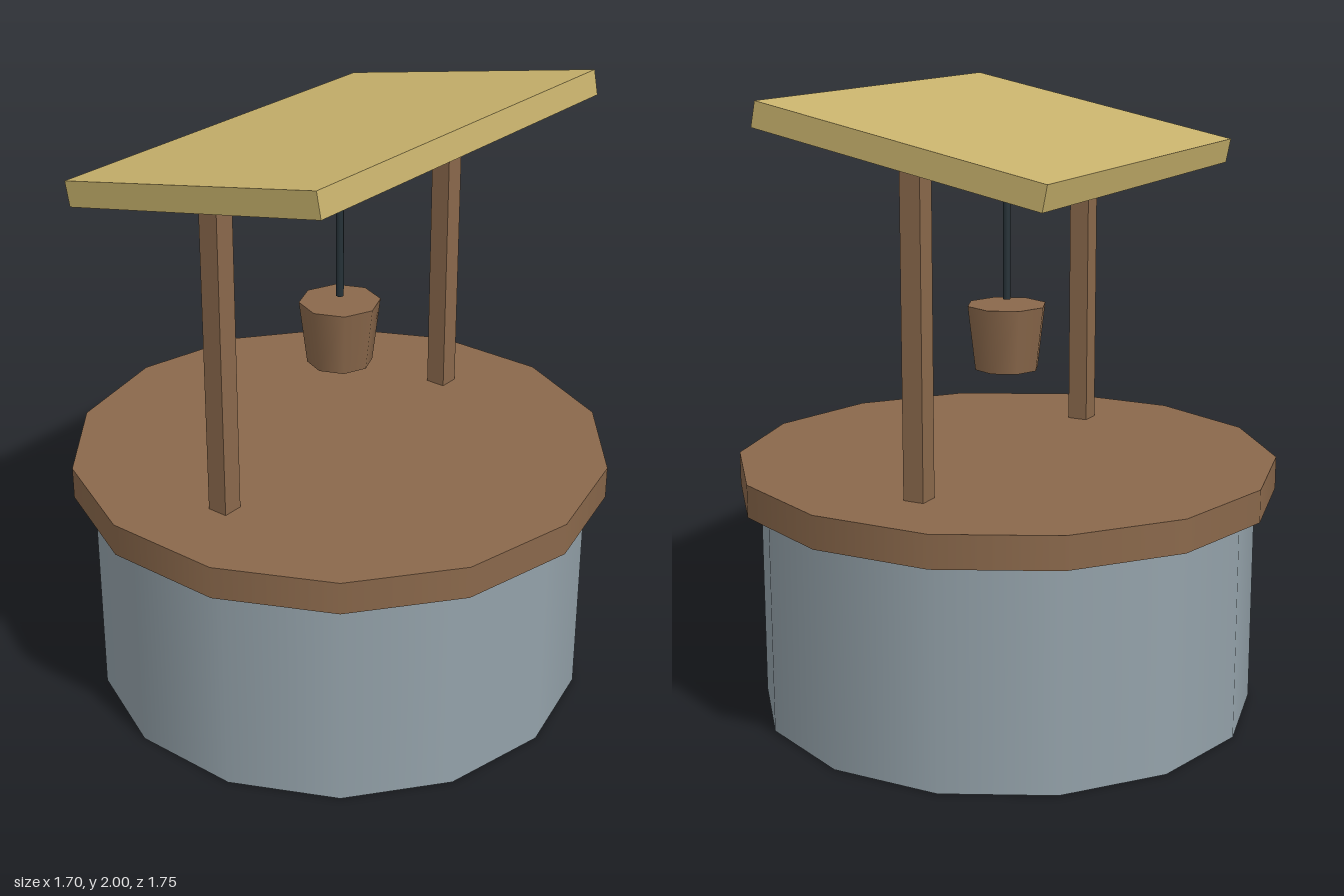
import * as THREE from 'three';

export function createModel() {
  const model = new THREE.Group();
  model.name = 'well';

  const material = (name, color) => {
    const m = new THREE.MeshStandardMaterial({ color });
    m.name = name;
    return m;
  };
  const stone = material('stone', 0x94a2aa);
  const wood = material('wood', 0x8a684b);
  const straw = material('straw', 0xc8b26c);
  const rope = material('rope', 0x263238);

  const add = (name, geometry, mat, x, y, z = 0) => {
    const mesh = new THREE.Mesh(geometry, mat);
    mesh.name = name;
    mesh.position.set(x, y, z);
    model.add(mesh);
    return mesh;
  };
  // Cylinder standing between two heights
  const drum = (name, mat, rTop, rBottom, y0, y1, sides) =>
    add(name, new THREE.CylinderGeometry(rTop, rBottom, y1 - y0, sides), mat, 0, (y0 + y1) / 2);

  // Stone wall and its wooden lid
  drum('wall', stone, 0.808, 0.808, 0, 0.72, 14);
  drum('lid', wood, 0.874, 0.874, 0.72, 0.825, 14);

  // Posts, one each side
  for (const side of [1, -1]) {
    add(side > 0 ? 'leftPost' : 'rightPost',
      new THREE.BoxGeometry(0.068, 1.01, 0.068), wood, side * 0.567, 1.323);
  }

  // Sloping roof, higher at the front
  const roof = add('roof', new THREE.BoxGeometry(1.374, 0.08, 0.97), straw, 0, 1.865);
  roof.rotation.x = -THREE.MathUtils.degToRad(11.25);

  // Rope and hanging bucket
  drum('rope', rope, 0.0125, 0.0125, 1.34, 1.745, 8);
  drum('bucket', wood, 0.13, 0.105, 1.115, 1.323, 8);

  return model;
}
